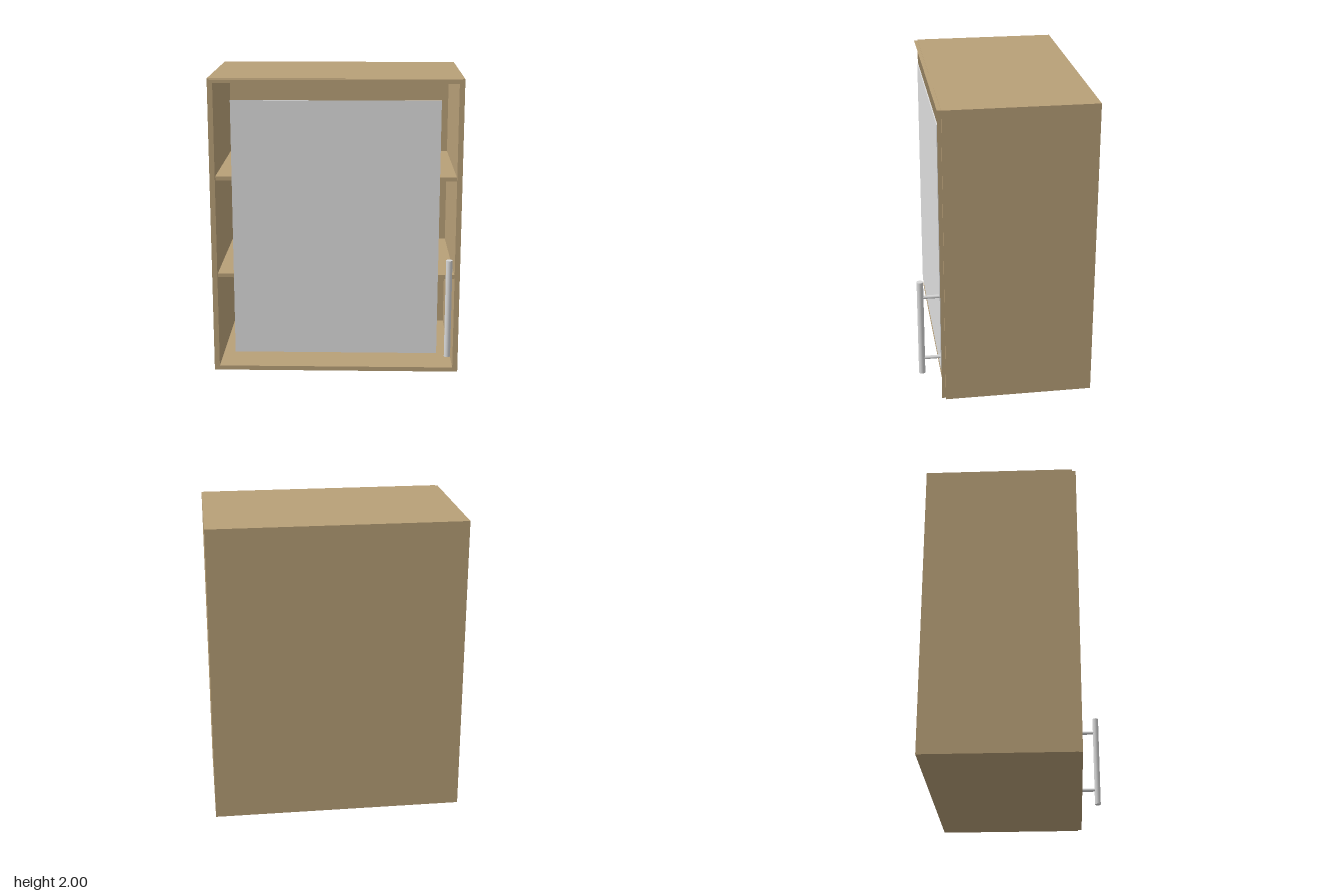
import * as THREE from 'three';

const wood = new THREE.MeshStandardMaterial({ name: 'wood', color: 0xb8a078 });
const glass = new THREE.MeshStandardMaterial({ name: 'frosted glass', color: 0xdcdcdc });
const metal = new THREE.MeshStandardMaterial({ name: 'brushed metal', color: 0xd8d8d8 });

// Carcass extents
const W = 0.83, H = 2, BACK = -0.57, FRONT = 0.402, T = 0.03;
// Door extents
const DW = 0.815, DY0 = 0.003, DY1 = 1.997, DOOR_FRONT = 0.427;

// Box given by its minimum and maximum corners
function box(name, material, [x0, y0, z0], [x1, y1, z1]) {
  const mesh = new THREE.Mesh(new THREE.BoxGeometry(x1 - x0, y1 - y0, z1 - z0), material);
  mesh.position.set((x0 + x1) / 2, (y0 + y1) / 2, (z0 + z1) / 2);
  mesh.name = name;
  return mesh;
}

function rod(name, radius, length, sides) {
  const mesh = new THREE.Mesh(new THREE.CylinderGeometry(radius, radius, length, sides), metal);
  mesh.name = name;
  return mesh;
}

function createCarcass() {
  const g = new THREE.Group();
  g.name = 'carcass';
  const inner = W - 0.035;
  g.add(
    box('rightSide', wood, [-W, 0, BACK], [-inner, H, FRONT]),
    box('leftSide', wood, [inner, 0, BACK], [W, H, FRONT]),
    box('bottomPanel', wood, [-inner, 0, BACK], [inner, T, FRONT]),
    box('topPanel', wood, [-inner, H - T, BACK], [inner, H, FRONT]),
    box('backPanel', wood, [-inner, T, BACK], [inner, H - T, BACK + 0.027]),
  );
  for (const y of [0.655, 1.323]) {
    g.add(box('shelf', wood, [-inner, y, BACK + 0.027], [inner, y + 0.027, 0.375]));
  }
  return g;
}

function createDoor() {
  const g = new THREE.Group();
  g.name = 'door';
  // Thin outer rim, open at the front
  const depth = DOOR_FRONT - FRONT, z = (DOOR_FRONT + FRONT) / 2;
  const height = DY1 - DY0, midY = (DY0 + DY1) / 2;
  for (const s of [-1, 1]) {
    const side = new THREE.Mesh(new THREE.PlaneGeometry(depth, height), wood);
    side.rotation.y = s * Math.PI / 2;
    side.position.set(s * DW, midY, z);
    side.name = 'doorSideEdge';
    const end = new THREE.Mesh(new THREE.PlaneGeometry(2 * DW, depth), wood);
    end.rotation.x = -s * Math.PI / 2;
    end.position.set(0, midY + s * height / 2, z);
    end.name = 'doorEndEdge';
    g.add(side, end);
  }
  g.add(box('glassPane', glass, [-0.682, 0.14, 0.411], [0.682, 1.862, 0.418]));
  return g;
}

function createHandle() {
  const g = new THREE.Group();
  g.name = 'handle';
  const x = 0.745, z = 0.549;
  const bar = rod('handleBar', 0.021, 0.665, 24);
  bar.position.set(x, 0.503, z);
  g.add(bar);
  // Posts joining the bar to the door
  for (const y of [0.28, 0.725]) {
    const post = rod('handlePost', 0.0115, z - DOOR_FRONT, 16);
    post.rotation.x = Math.PI / 2;
    post.position.set(x, y, (z + DOOR_FRONT) / 2);
    g.add(post);
  }
  return g;
}

export function createModel() {
  const model = new THREE.Group();
  model.name = 'wallCabinet';
  model.add(createCarcass(), createDoor(), createHandle());
  return model;
}
